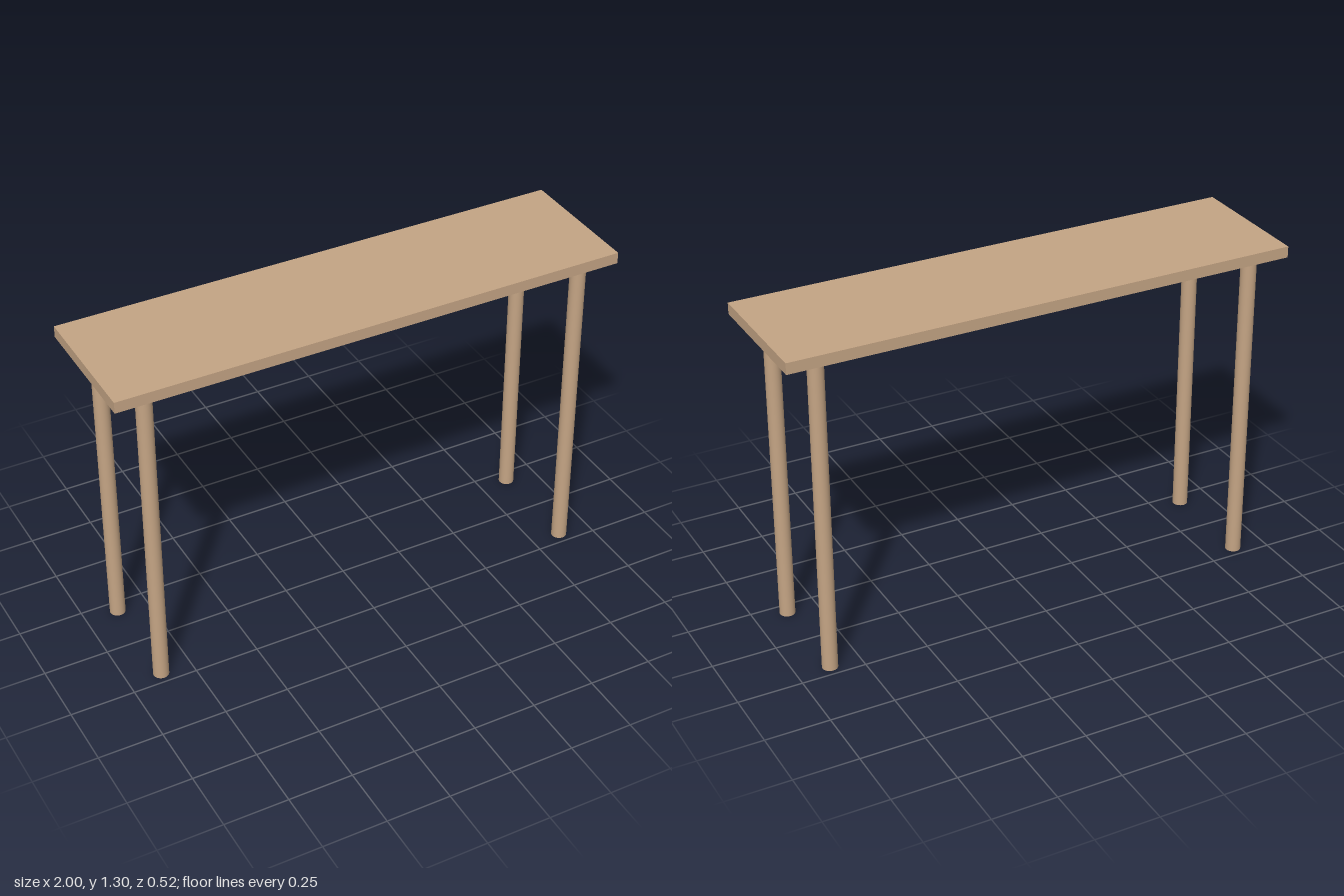
import * as THREE from 'three';

export function createModel() {
  const model = new THREE.Group();
  model.name = 'table';
  const wood = new THREE.MeshStandardMaterial({ color: 0xc4a484 });

  const height = 1.304, thickness = 0.044, legRadius = 0.03;
  const legHeight = height - thickness;

  // Flat rectangular top
  const top = new THREE.Mesh(new THREE.BoxGeometry(2, thickness, 0.522), wood);
  top.name = 'tableTop';
  top.position.y = height - thickness / 2;
  model.add(top);

  // Four round legs, inset from the corners
  const legGeometry = new THREE.CylinderGeometry(legRadius, legRadius, legHeight, 32);
  for (const [side, x] of [['Left', 0.87], ['Right', -0.87]]) {
    for (const [end, z] of [['front', 0.2], ['back', -0.2]]) {
      const leg = new THREE.Mesh(legGeometry, wood);
      leg.name = `${end}${side}Leg`;
      leg.position.set(x, legHeight / 2, z);
      model.add(leg);
    }
  }

  return model;
}
